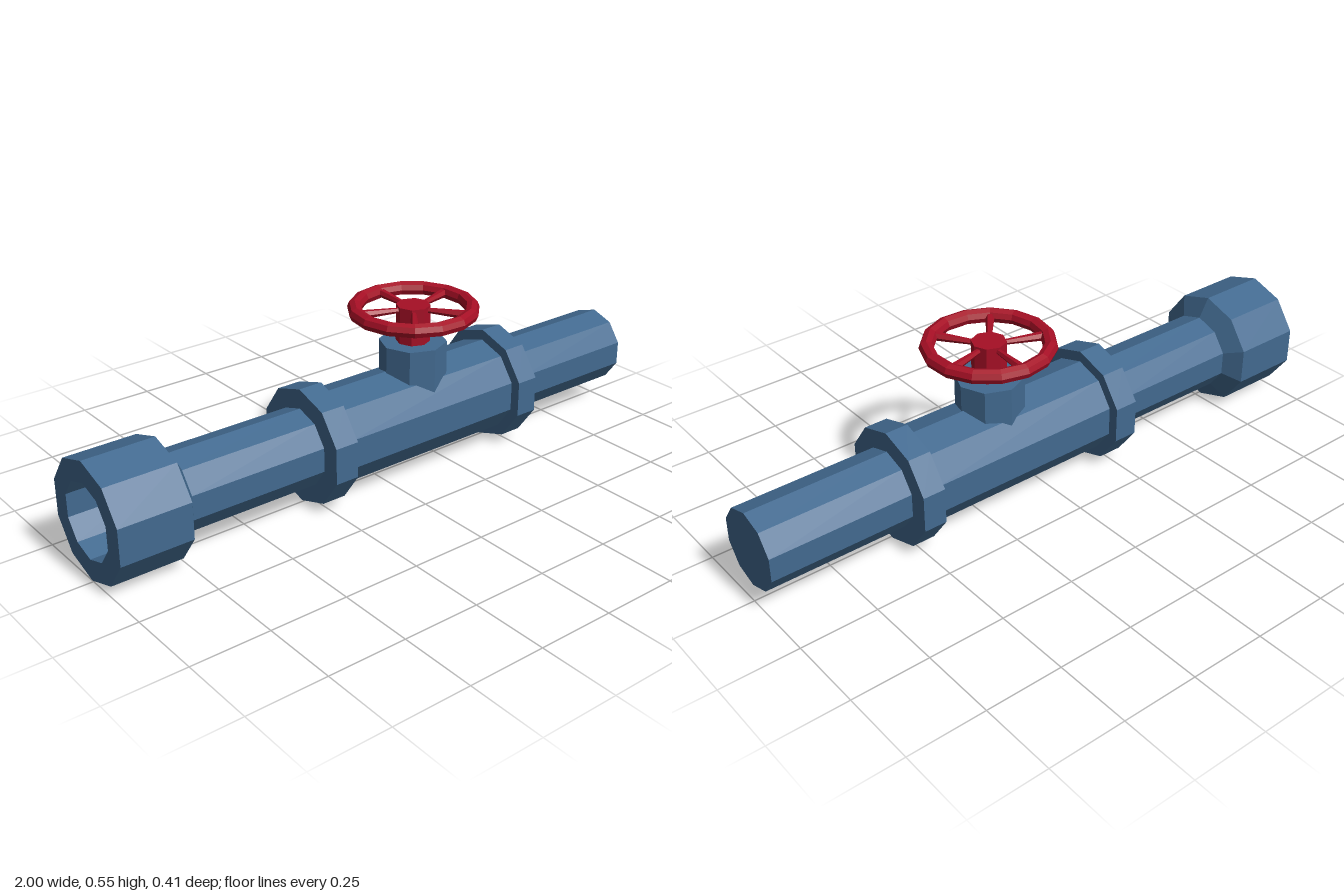
import * as THREE from 'three';

const AXIS_Y = 0.19, AXIS_Z = -0.007;  // pipe axis
const VALVE_X = 0.155;                 // valve axis

// Faceted normals for a low-poly finish
function facet(geometry) {
  const g = geometry.index ? geometry.toNonIndexed() : geometry;
  g.computeVertexNormals();
  return g;
}

function addPart(parent, name, geometry, material) {
  const mesh = new THREE.Mesh(facet(geometry), material);
  mesh.name = name;
  parent.add(mesh);
  return mesh;
}

// Ten-sided turned part lying along x; profile is a list of [x, radius]
function turned(profile) {
  const points = profile.map(([x, r]) => new THREE.Vector2(r, x));
  return new THREE.LatheGeometry(points, 10, Math.PI / 2).rotateZ(-Math.PI / 2);
}

const solid = (x0, x1, r) => turned([[x0, 0], [x0, r], [x1, r], [x1, 0]]);

export function createModel() {
  const model = new THREE.Group();
  model.name = 'pipeValve';

  const blue = new THREE.MeshStandardMaterial({ color: 0x426a90 });
  blue.name = 'blue paint';
  const red = new THREE.MeshStandardMaterial({ color: 0xa60f25 });
  red.name = 'red paint';

  // Pipe run along x
  const pipe = new THREE.Group();
  pipe.name = 'pipe';
  pipe.position.set(0, AXIS_Y, AXIS_Z);
  model.add(pipe);

  // Open socket with a tapered shoulder
  addPart(pipe, 'socket', turned([
    [-0.8, 0], [-0.8, 0.12], [-1, 0.12], [-1, 0.188], [-0.77, 0.188], [-0.735, 0.125],
  ]), blue);
  addPart(pipe, 'rightPipe', turned([[-0.735, 0.125], [-0.28, 0.125]]), blue);
  addPart(pipe, 'rightCollar', solid(-0.28, -0.2, 0.188), blue);
  addPart(pipe, 'valveBody', turned([[-0.2, 0.153], [0.46, 0.153]]), blue);
  addPart(pipe, 'leftCollar', solid(0.46, 0.535, 0.188), blue);
  addPart(pipe, 'leftPipe', turned([[0.535, 0.125], [1, 0.125], [1, 0]]), blue);

  // Bonnet and stem, both eight-sided
  const bonnet = addPart(model, 'bonnet', new THREE.CylinderGeometry(0.107, 0.107, 0.2, 8), blue);
  bonnet.position.set(VALVE_X, 0.325, -0.001);
  const stem = addPart(model, 'stem', new THREE.CylinderGeometry(0.054, 0.054, 0.124, 8), red);
  stem.position.set(VALVE_X, 0.482, -0.001);

  // Handwheel: rim and five spokes widening outwards
  const wheel = new THREE.Group();
  wheel.name = 'handwheel';
  wheel.position.set(VALVE_X, 0.53, 0);
  wheel.rotation.y = THREE.MathUtils.degToRad(15);
  model.add(wheel);
  addPart(wheel, 'rim', new THREE.TorusGeometry(0.184, 0.023, 8, 15).rotateX(-Math.PI / 2), red);

  for (let i = 0; i < 5; i++) {
    const geometry = new THREE.CylinderGeometry(0.015, 0.008, 0.145, 6)
      .rotateZ(-Math.PI / 2)
      .translate(0.1125, 0, 0);
    addPart(wheel, 'spoke', geometry, red).rotation.y = (i * 2 * Math.PI) / 5;
  }

  return model;
}
